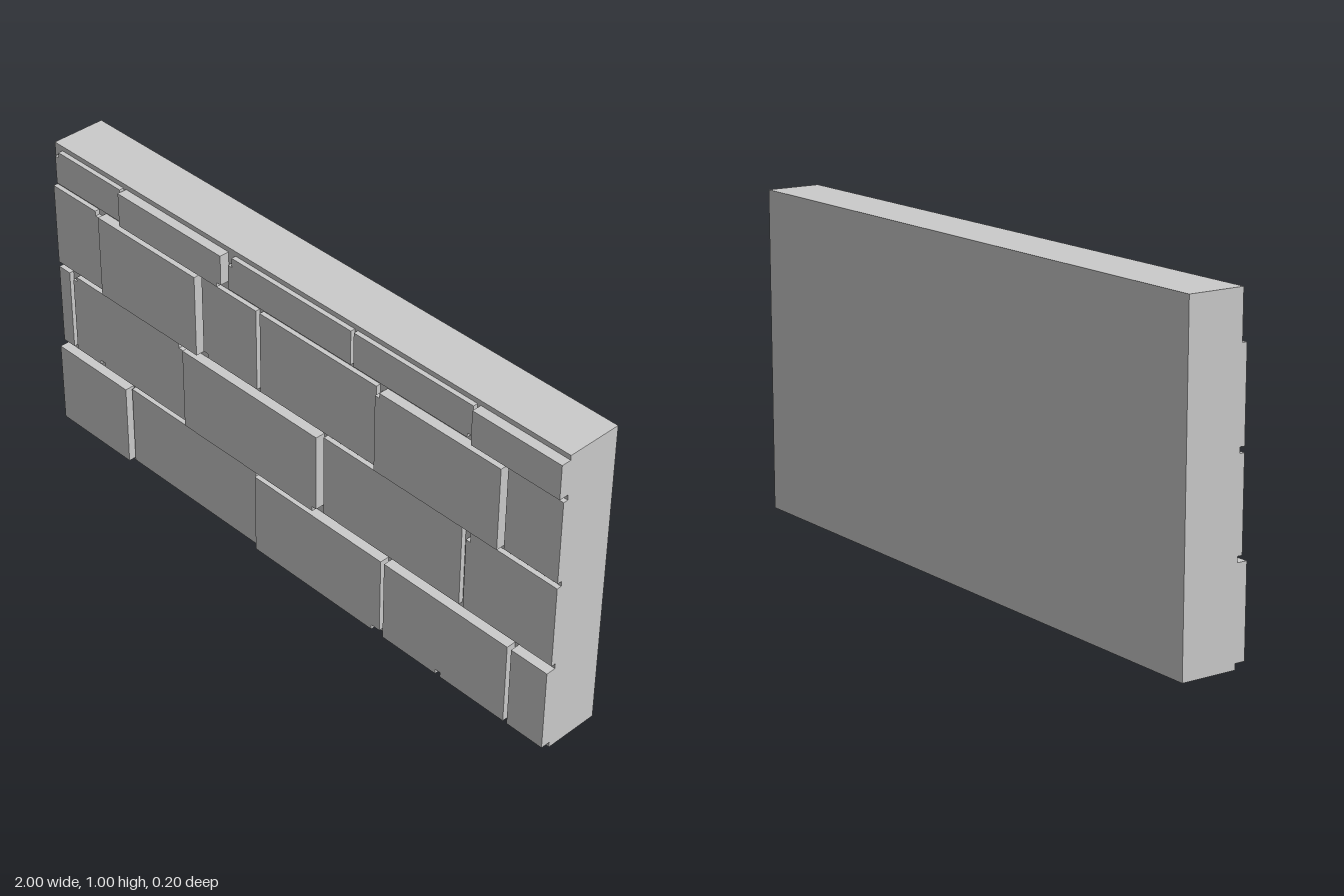
import * as THREE from 'three';

const WALL_FRONT = 0.072, BACK = -0.102;
const HIGH = 0.103, LOW = 0.087;

// Each course: bottom, top, and stones as [x0, x1, front z, chips].
// A chip is [corner, width, height]; 'n' is a notch in the bottom edge: ['n', width, height, x].
const courses = [
  { y0: 0.018, y1: 0.287, stones: [
    [-1, -0.695, HIGH],
    [-0.685, -0.14, LOW],
    [-0.128, 0.383, HIGH, [['br', 0.032, 0.016]]],
    [0.396, 0.858, HIGH, [['n', 0.018, 0.016, 0.602]]],
    [0.872, 1, HIGH],
  ] },
  { y0: 0.304, y1: 0.573, stones: [
    [-1, -0.952, LOW],
    [-0.936, -0.444, LOW, [['tl', 0.016, 0.016], ['tr', 0.018, 0.016], ['n', 0.018, 0.014, -0.827]]],
    [-0.428, 0.126, HIGH, [['br', 0.016, 0.016]]],
    [0.139, 0.664, LOW],
    [0.679, 1, LOW, [['tl', 0.016, 0.032]]],
  ] },
  { y0: 0.59, y1: 0.858, stones: [
    [-1, -0.794, LOW, [['tr', 0.018, 0.016]]],
    [-0.781, -0.366, HIGH],
    [-0.353, -0.13, LOW, [['bl', 0.018, 0.014]]],
    [-0.115, 0.338, LOW],
    [0.349, 0.802, HIGH, [['tl', 0.016, 0.016]]],
    [0.812, 1, LOW],
  ] },
  { y0: 0.875, y1: 0.985, stones: [
    [-0.983, -0.695, LOW, [['tl', 0.016, 0.018]]],
    [-0.685, -0.254, HIGH, [['br', 0.017, 0.014]]],
    [-0.241, 0.24, LOW, [['tl', 0.016, 0.03]]],
    [0.251, 0.684, LOW, [['br', 0.017, 0.014]]],
    [0.695, 1, HIGH],
  ] },
];

// Outline of a stone, counter-clockwise, stepping around its chips
function stoneShape(x0, x1, y0, y1, chips) {
  const find = (name) => chips.find((c) => c[0] === name);
  const points = [];
  const corner = (name, x, y, sx, sy, alongXFirst) => {
    const chip = find(name);
    if (!chip) return points.push([x, y]);
    const ix = x + sx * chip[1], iy = y + sy * chip[2];
    if (alongXFirst) points.push([ix, y], [ix, iy], [x, iy]);
    else points.push([x, iy], [ix, iy], [ix, y]);
  };
  corner('bl', x0, y0, 1, 1, false);
  const notch = find('n');
  if (notch) {
    const [, w, h, x] = notch;
    points.push([x, y0], [x, y0 + h], [x + w, y0 + h], [x + w, y0]);
  }
  corner('br', x1, y0, -1, 1, true);
  corner('tr', x1, y1, -1, -1, false);
  corner('tl', x0, y1, 1, -1, true);
  return new THREE.Shape(points.map((p) => new THREE.Vector2(...p)));
}

export function createModel() {
  const model = new THREE.Group();
  model.name = 'stoneWall';
  const material = new THREE.MeshStandardMaterial({ color: 0xcccccc, flatShading: true });

  // Solid slab behind the stones
  const slab = new THREE.Mesh(new THREE.BoxGeometry(2, 1, WALL_FRONT - BACK), material);
  slab.name = 'wallSlab';
  slab.position.set(0, 0.5, (WALL_FRONT + BACK) / 2);
  model.add(slab);

  // Raised stones, course by course from the ground up
  courses.forEach(({ y0, y1, stones }, row) => {
    const course = new THREE.Group();
    course.name = `stoneCourse${row + 1}`;
    stones.forEach(([x0, x1, front, chips = []], i) => {
      const geometry = new THREE.ExtrudeGeometry(stoneShape(x0, x1, y0, y1, chips), {
        depth: front - WALL_FRONT, bevelEnabled: false,
      });
      const stone = new THREE.Mesh(geometry, material);
      stone.name = `stone${i + 1}`;
      stone.position.z = WALL_FRONT;
      course.add(stone);
    });
    model.add(course);
  });
  return model;
}
